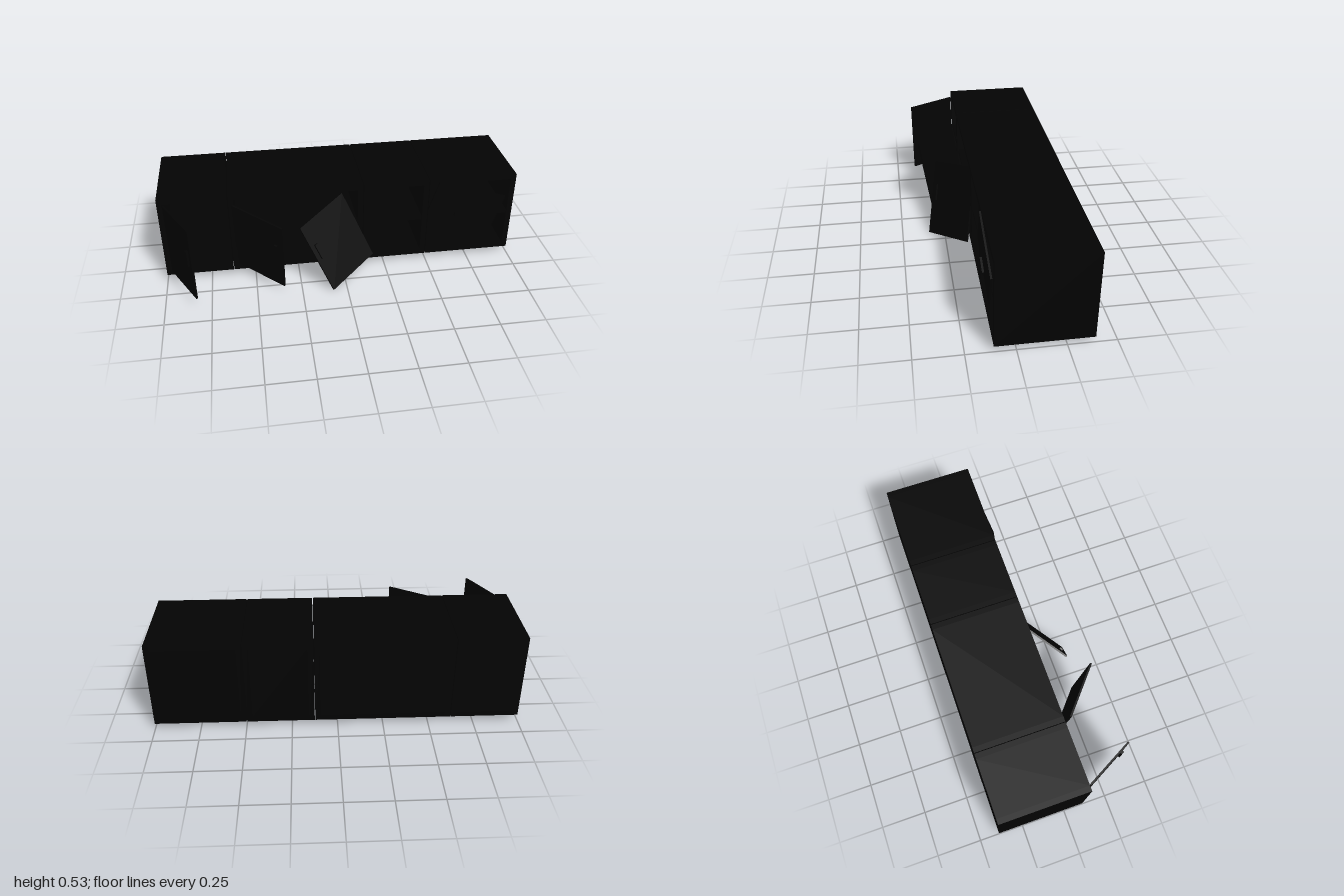
import * as THREE from 'three';

const material = new THREE.MeshStandardMaterial({ color: 0x030303 });
const T = 0.03; // board thickness
const Y0 = 0.035, Y1 = 0.53, Z0 = -0.39, Z1 = 0.11;
const DOOR_T = 0.01;

// Box given by its minimum and maximum corners
function board(name, min, max) {
  const size = max.map((m, i) => m - min[i]);
  const mesh = new THREE.Mesh(new THREE.BoxGeometry(...size), material);
  mesh.name = name;
  mesh.position.set(...min.map((m, i) => (m + max[i]) / 2));
  return mesh;
}

// Open-fronted carcass with a middle shelf
function cabinet(name, x0, x1) {
  const g = new THREE.Group();
  g.name = name;
  const yMid = (Y0 + Y1) / 2;
  const a = x0 + T, b = x1 - T;
  g.add(
    board('sideRight', [x0, Y0, Z0], [a, Y1, Z1]),
    board('sideLeft', [b, Y0, Z0], [x1, Y1, Z1]),
    board('bottom', [a, Y0, Z0], [b, Y0 + T, Z1]),
    board('top', [a, Y1 - T, Z0], [b, Y1, Z1]),
    board('back', [a, Y0 + T, Z0], [b, Y1 - T, Z0 + T]),
    board('shelf', [a, yMid - 0.01, Z0 + T], [b, yMid + 0.01, Z1 - 0.005])
  );
  return g;
}

// Loose door: lower corner, width and height vectors, handle place as fractions
function door(name, corner, across, up, handleAt, handleSize) {
  const g = new THREE.Group();
  g.name = name;
  const u = new THREE.Vector3(...across), v = new THREE.Vector3(...up);
  const w = u.length(), h = v.length();
  g.position.set(...corner).addScaledVector(u, 0.5).addScaledVector(v, 0.5);
  u.normalize();
  const n = new THREE.Vector3().crossVectors(u, v).normalize();
  v.crossVectors(n, u);
  g.quaternion.setFromRotationMatrix(new THREE.Matrix4().makeBasis(u, v, n));

  const panel = new THREE.Mesh(new THREE.BoxGeometry(w, h, DOOR_T), material);
  panel.name = 'doorPanel';
  const handle = new THREE.Mesh(new THREE.BoxGeometry(...handleSize, 0.012), material);
  handle.name = 'handle';
  handle.position.set((handleAt[0] - 0.5) * w, (handleAt[1] - 0.5) * h, DOOR_T / 2 + 0.005);
  g.add(panel, handle);
  return g;
}

export function createModel() {
  const model = new THREE.Group();
  model.name = 'brokenWallCabinets';

  // Four cabinets in a row with thin gaps between
  const edges = [-1, -0.624, 0.124, 0.498, 1];
  for (let i = 0; i < 4; i++) {
    const x0 = edges[i] + (i > 0 ? 0.002 : 0);
    const x1 = edges[i + 1] - (i < 3 ? 0.002 : 0);
    model.add(cabinet('cabinet' + (i + 1), x0, x1));
  }

  // Doors hanging open, sagging and falling off
  const upright = [0.018, 0.095], flat = [0.095, 0.018];
  model.add(
    door('openDoor', [-0.965, 0.066, 0.115], [0.14, 0, 0.268], [0, 0.434, 0.004], [0.9, 0.58], upright),
    door('saggingDoor', [-0.597, 0.066, 0.083], [0.248, -0.031, 0.217], [0, 0.425, 0.072], [0.88, 0.58], upright),
    door('fallingDoor', [-0.08, 0.004, 0.34], [0.255, 0.08, -0.2], [-0.17, 0.385, -0.07], [0.1, 0.58], upright),
    door('tiltedFlap', [0.492, 0.323, 0.115], [0.393, -0.124, 0], [0.062, 0.196, 0], [0.5, 0.15], flat)
  );
  return model;
}
